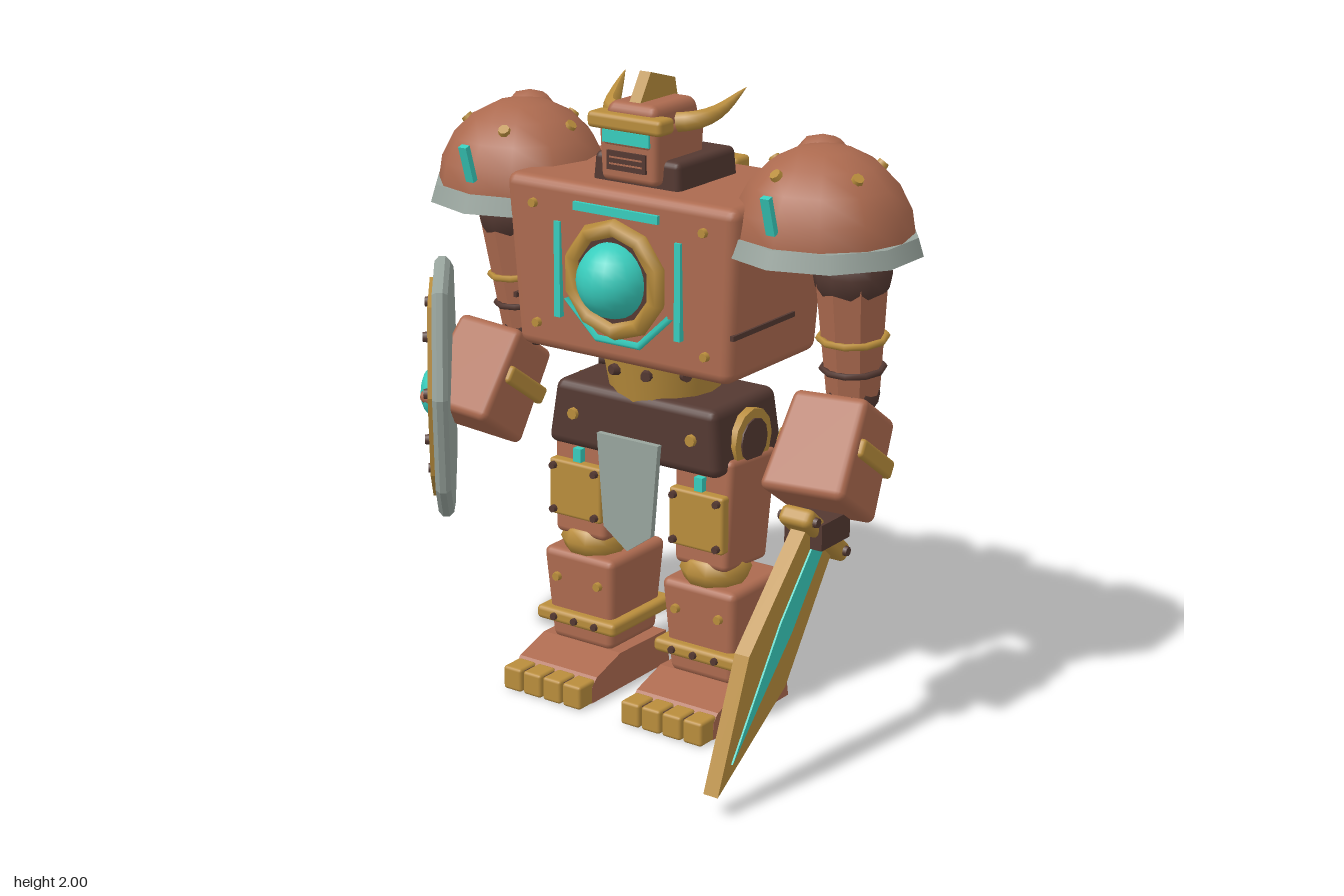
import * as THREE from 'three';
import { RoundedBoxGeometry } from 'three/addons/geometries/RoundedBoxGeometry.js';

const mat = (name, color) => {
  const m = new THREE.MeshStandardMaterial({ color });
  m.name = name;
  return m;
};

export function createModel() {
  const copper = mat('copper', 0xac6a4f), gold = mat('gold', 0xb98d3c), dark = mat('dark brown', 0x543932);
  const teal = mat('teal', 0x38cdbd), steel = mat('steel', 0x98a49d);
  const root = new THREE.Group();
  root.name = 'robotKnight';
  const UP = new THREE.Vector3(0, 1, 0);

  const group = (name, x = 0, y = 0, z = 0, parent = body) => {
    const g = new THREE.Group();
    g.name = name;
    g.position.set(x, y, z);
    parent.add(g);
    return g;
  };
  const body = group('body', 0.035, 0, 0, root);
  const add = (parent, name, geo, m, x = 0, y = 0, z = 0) => {
    const mesh = new THREE.Mesh(geo, m);
    mesh.name = name;
    mesh.position.set(x, y, z);
    parent.add(mesh);
    return mesh;
  };
  const box = (w, h, d) => new THREE.BoxGeometry(w, h, d);
  // rounded box whose top and bottom are scaled in x and z
  const block = (w, h, d, r, top = 1, bottom = 1) => {
    const g = new RoundedBoxGeometry(w, h, d, 2, r), p = g.attributes.position;
    for (let i = 0; i < p.count; i++) {
      const s = THREE.MathUtils.lerp(bottom, top, p.getY(i) / h + 0.5);
      p.setX(i, p.getX(i) * s);
      p.setZ(i, p.getZ(i) * s);
    }
    return g;
  };
  // flat outline extruded symmetrically about its plane
  const plate = (pts, depth, bevel = 0) => {
    const shape = new THREE.Shape(pts.map(p => new THREE.Vector2(...p)));
    return new THREE.ExtrudeGeometry(shape, {
      depth: depth - 2 * bevel, bevelEnabled: bevel > 0, bevelSize: bevel,
      bevelOffset: -bevel, bevelThickness: bevel, bevelSegments: 1,
    }).translate(0, 0, -depth / 2 + bevel);
  };
  // outline given as (z, y), thickness along x
  const sidePlate = (pts, depth) => plate(pts, depth).rotateY(-Math.PI / 2);
  const rivet = (parent, m, x, y, z, nx = 0, ny = 0, nz = 1, r = 0.017) => {
    const mesh = add(parent, 'rivet', new THREE.CylinderGeometry(r * 0.8, r, 0.026, 8), m, x, y, z);
    mesh.quaternion.setFromUnitVectors(UP, new THREE.Vector3(nx, ny, nz).normalize());
  };
  const ball = (r, w = 12, h = 8) => new THREE.SphereGeometry(r, w, h);

  // torso
  add(body, 'torso', block(0.85, 0.545, 0.53, 0.035, 1, 0.92), copper, 0, 1.393, -0.18);
  for (const s of [-1, 1]) {
    add(body, 'sideSeam', box(0.012, 0.016, 0.33), dark, s * 0.403, 1.275, -0.1);
    add(body, 'chestLight', box(0.022, 0.3, 0.02), teal, s * 0.222, 1.39, 0.078);
    for (const y of [1.205, 1.585]) rivet(body, gold, s * 0.312, y, y > 1.4 ? 0.083 : 0.07);
  }
  add(body, 'chestTopLight', box(0.31, 0.026, 0.02), teal, 0, 1.6, 0.085);
  // reactor
  const reactor = group('reactor', 0, 1.395, 0.08);
  add(reactor, 'housing', new THREE.CylinderGeometry(0.15, 0.15, 0.05, 10).rotateX(Math.PI / 2), dark);
  add(reactor, 'ring', new THREE.TorusGeometry(0.158, 0.03, 6, 10).rotateZ(Math.PI / 10), gold, 0, 0, 0.015);
  add(reactor, 'core', ball(0.118, 20, 14), teal, 0, 0, 0.012);
  add(reactor, 'lowerLight', new THREE.TorusGeometry(0.212, 0.012, 4, 3, 2.27).rotateZ(3.58), teal);
  // back plate and battered lumps
  add(body, 'spinePlate', block(0.18, 0.49, 0.08, 0.015), gold, 0, 1.435, -0.457);
  for (const y of [1.26, 1.43, 1.6]) rivet(body, dark, 0, y, -0.5, 0, 0, -1);
  for (const [x, y] of [[-0.11, 1.21], [0.11, 1.6]]) add(body, 'backLight', box(0.025, 0.025, 0.03), teal, x, y, -0.445);
  add(body, 'upperBackLump', ball(0.15, 7, 5), copper, -0.22, 1.55, -0.43).scale.set(1.1, 1, 0.8);
  add(body, 'lowerBackLump', ball(0.14, 7, 5), copper, 0.215, 1.33, -0.43).scale.set(0.95, 1, 0.78);

  // head
  add(body, 'collar', block(0.325, 0.12, 0.32, 0.02, 0.95), dark, 0, 1.69, -0.165);
  const head = group('head', 0, 0, -0.095);
  add(head, 'face', block(0.215, 0.18, 0.26, 0.02, 1, 0.94), copper, 0, 1.765, 0);
  add(head, 'helmet', block(0.215, 0.14, 0.27, 0.03, 0.82), copper, 0, 1.845, 0);
  add(head, 'brow', block(0.27, 0.05, 0.08, 0.015), gold, 0, 1.86, 0.11);
  add(head, 'visor', box(0.17, 0.038, 0.03), teal, 0, 1.815, 0.122);
  add(head, 'grille', box(0.14, 0.058, 0.02), dark, 0, 1.743, 0.124);
  for (const y of [1.733, 1.753]) add(head, 'grilleBar', box(0.12, 0.005, 0.006), copper, 0, y, 0.133);
  add(head, 'crest', sidePlate([[0.09, 1.88], [0.09, 1.91], [0.035, 2], [-0.09, 1.965], [-0.11, 1.88]], 0.04), gold);
  for (const s of [-1, 1]) {
    const path = new THREE.CatmullRomCurve3([[0.1, 1.855, 0.01], [0.155, 1.865, -0.01], [0.19, 1.885, -0.07], [0.223, 1.945, -0.17]]
      .map(([x, y, z]) => new THREE.Vector3(s * x, y, z)));
    const n = 8, horn = new THREE.TubeGeometry(path, n, 0.03, 7), p = horn.attributes.position;
    for (let i = 0, v = new THREE.Vector3(); i < p.count; i++) {
      const t = Math.floor(i / 8) / n;
      v.fromBufferAttribute(p, i).lerp(path.getPointAt(t), t * t * 0.97);
      p.setXYZ(i, v.x, v.y, v.z);
    }
    horn.computeVertexNormals();
    add(head, 'horn', horn, gold);
  }

  // shoulders
  for (const s of [-1, 1]) {
    const sh = group(s > 0 ? 'leftShoulder' : 'rightShoulder', s * 0.555, 1.56, -0.18);
    add(sh, 'dome', new THREE.SphereGeometry(0.272, 12, 5, 0, Math.PI * 2, 0, Math.PI / 2), copper);
    add(sh, 'rim', new THREE.CylinderGeometry(0.285, 0.302, 0.055, 10), steel, 0, -0.012, 0);
    add(sh, 'lump', ball(0.095, 7, 5), copper, -0.06 + (s < 0 ? 0.01 : -0.01), 0.2, -0.1).scale.set(1, 0.8, 0.9);
    for (const a of [0.45, 1.9, 3.2, 5.4, 4.3]) {
      const x = s * 0.175 * Math.cos(a), z = 0.175 * Math.sin(a);
      rivet(sh, gold, x, 0.2, z, x, 0.2, z, 0.022);
    }
    add(sh, 'shoulderLight', box(0.03, 0.12, 0.02), teal, s * -0.005, 0.115, 0.283).rotation.x = 0.3;
  }

  // arms
  for (const s of [-1, 1]) {
    const arm = group(s > 0 ? 'leftArm' : 'rightArm', s > 0 ? 0.665 : -0.585, 0, -0.17);
    add(arm, 'shoulderBall', ball(0.118, 12, 8), dark, 0, 1.47, 0);
    const upper = group('upperArm', 0, 1.45, 0, arm);
    upper.rotation.set(0.06, 0, s < 0 ? 0.09 : 0);
    const tube = new THREE.CylinderGeometry(0.11, 0.082, 0.36, 8).toNonIndexed();
    tube.computeVertexNormals();
    add(upper, 'sleeve', tube, copper, 0, -0.17, 0);
    add(upper, 'goldBand', new THREE.TorusGeometry(0.1, 0.011, 6, 10).rotateX(Math.PI / 2), gold, 0, -0.18, 0);
    add(upper, 'darkBand', new THREE.TorusGeometry(0.092, 0.01, 6, 10).rotateX(Math.PI / 2), dark, 0, -0.275, 0);
    add(upper, 'elbow', ball(0.08), dark, 0, -0.355, 0);
    const fore = group('gauntlet', s > 0 ? -0.01 : -0.055, 0.925, 0.08, arm);
    fore.rotation.set(-0.61, 0, s * 0.06);
    add(fore, 'forearm', block(0.285, 0.32, 0.245, 0.025, 0.87), copper);
    add(fore, 'wristBand', block(0.295, 0.058, 0.215, 0.012), gold, 0, 0.015, -0.022);
  }

  // sword, laid out in (z, y) along its axis
  const sword = group('sword', 0.67, 0.715, 0.015);
  const blade = (pts, w) => sidePlate(pts.map(([a, b]) => [a * 0.635 + b * 0.772, -a * 0.772 + b * 0.635]), w);
  add(sword, 'blade', blade([[0, -0.09], [0.44, -0.126], [0.835, 0], [0.44, 0.126], [0, 0.09]], 0.05), gold);
  add(sword, 'bladeGlow', blade([[0.02, -0.03], [0.3, -0.038], [0.73, 0], [0.3, 0.038], [0.02, 0.03]], 0.062), teal);
  add(sword, 'grip', box(0.13, 0.08, 0.155), dark, 0, 0.015, -0.015);
  const guard = group('guard', 0, 0, 0, sword);
  guard.rotation.x = -0.69;
  add(guard, 'guardBar', block(0.11, 0.06, 0.29, 0.02), gold);
  for (const z of [-0.11, 0.11]) for (const s of [-1, 1]) rivet(guard, dark, s * 0.054, 0, z, s, 0, 0, 0.018);

  // shield
  const shield = group('shield', -0.745, 0.9, 0);
  shield.rotation.y = -0.94;
  const half = [[0, 0.43], [-0.18, 0.36], [-0.265, 0.03], [-0.19, -0.3], [-0.05, -0.43]];
  const outline = [...half, ...half.slice(1).reverse().map(([x, y]) => [-x, y])];
  add(shield, 'shieldRim', plate(outline, 0.05, 0.015), steel);
  add(shield, 'shieldFace', plate(outline.map(([x, y]) => [x * 0.82, y * 0.84]), 0.03), gold, 0, 0, 0.026);
  add(shield, 'shieldLight', box(0.03, 0.5, 0.02), teal, 0, -0.01, 0.042);
  add(shield, 'shieldBoss', ball(0.078, 10, 8), teal, 0, -0.02, 0.04).scale.z = 0.5;
  for (const [x, y] of [[0, 0.28], [0.125, 0.2], [0.15, 0.02], [0.125, -0.14], [0, -0.28]])
    for (const s of x ? [-1, 1] : [1]) rivet(shield, dark, s * x, y, 0.045, 0, 0, 1, 0.02);
  add(shield, 'strap', box(0.09, 0.1, 0.05), dark, 0, 0, -0.04);

  // waist and hips
  add(body, 'waist', new THREE.CylinderGeometry(0.198, 0.17, 0.15, 16), gold, 0, 1.06, -0.17);
  for (let i = 0; i < 10; i++) {
    const a = (i + 0.5) * Math.PI / 5, x = Math.sin(a), z = Math.cos(a);
    rivet(body, dark, x * 0.194, 1.085, -0.17 + z * 0.194, x, 0, z, 0.02);
  }
  add(body, 'hips', block(0.65, 0.21, 0.37, 0.03, 0.92), dark, 0, 0.905, -0.17);
  for (const s of [-1, 1]) {
    rivet(body, gold, s * 0.222, 0.91, 0.006, 0, 0, 1, 0.022);
    add(body, 'hipRing', new THREE.CylinderGeometry(0.1, 0.1, 0.03, 12).rotateZ(Math.PI / 2), gold, s * 0.315, 0.885, -0.17);
    add(body, 'hipCap', new THREE.CylinderGeometry(0.07, 0.07, 0.04, 12).rotateZ(Math.PI / 2), dark, s * 0.315, 0.885, -0.17);
  }
  add(body, 'loinPlate', plate([[-0.115, 0.875], [-0.09, 0.575], [0, 0.51], [0.09, 0.575], [0.115, 0.875]], 0.02), steel, 0, 0, 0.022);

  // legs
  for (const s of [-1, 1]) {
    const leg = group(s > 0 ? 'leftLeg' : 'rightLeg', s * 0.23, 0, 0);
    add(leg, 'thigh', block(0.215, 0.36, 0.255, 0.02, 1, 0.9), copper, 0, 0.66, -0.158).rotation.x = -0.07;
    add(leg, 'thighPlate', block(0.2, 0.185, 0.04, 0.01), gold, 0, 0.648, -0.025);
    for (const x of [-0.08, 0.08]) {
      for (const y of [0.575, 0.72]) rivet(leg, dark, x, y, -0.003, 0, 0, 1, 0.014);
      rivet(leg, gold, x, 0.34, -0.02);
    }
    add(leg, 'thighLight', box(0.03, 0.045, 0.03), teal, 0, 0.762, -0.033);
    add(leg, 'knee', ball(0.115, 10, 6), gold, 0, 0.468, -0.12).scale.set(0.97, 0.65, 1);
    add(leg, 'shin', block(0.275, 0.315, 0.3, 0.025, 1, 0.84), copper, 0, 0.275, -0.165);
    add(leg, 'ankleBand', block(0.308, 0.045, 0.335, 0.015), gold, 0, 0.208, -0.168);
    for (const x of [-0.08, 0, 0.08]) rivet(leg, dark, x, 0.208, -0.003, 0, 0, 1, 0.014);
    // foot
    const sole = sidePlate([[0.11, 0.005], [0.11, 0.06], [0.085, 0.085], [-0.04, 0.125], [-0.29, 0.12], [-0.31, 0.005]], 0.305);
    add(leg, 'foot', sole, copper);
    rivet(leg, gold, s * 0.153, 0.08, -0.11, s, 0, 0, 0.022);
    add(leg, 'toeGaps', box(0.28, 0.06, 0.05), dark, 0, 0.042, 0.13);
    for (let i = 0; i < 4; i++) add(leg, 'toe', block(0.07, 0.078, 0.085, 0.01), gold, (i - 1.5) * 0.078, 0.041, 0.132);
  }
  return root;
}
